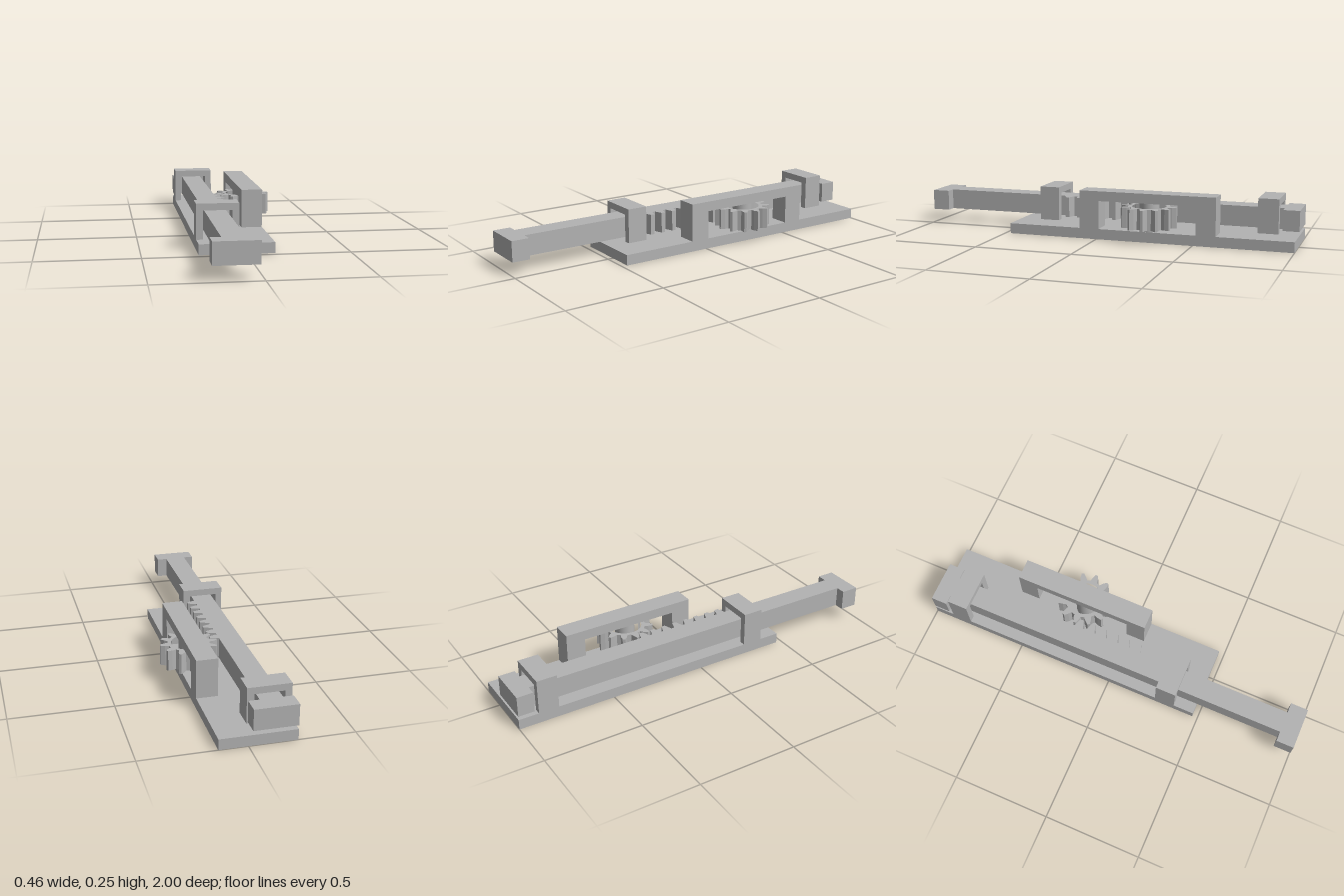
import * as THREE from 'three';

const grey = new THREE.MeshStandardMaterial({ color: 0xb3b3b3 });
grey.name = 'plain grey';

// Box given by its limits on each axis
function box(name, x0, x1, y0, y1, z0, z1) {
  const mesh = new THREE.Mesh(new THREE.BoxGeometry(x1 - x0, y1 - y0, z1 - z0), grey);
  mesh.position.set((x0 + x1) / 2, (y0 + y1) / 2, (z0 + z1) / 2);
  mesh.name = name;
  return mesh;
}

// Plan outline of [x, z] points raised between two heights
function plate(name, points, y0, y1, hole) {
  const shape = new THREE.Shape(points.map(([x, z]) => new THREE.Vector2(x, -z)));
  if (hole) shape.holes.push(hole);
  const geometry = new THREE.ExtrudeGeometry(shape, { depth: y1 - y0, bevelEnabled: false, curveSegments: 24 });
  geometry.rotateX(-Math.PI / 2);
  const mesh = new THREE.Mesh(geometry, grey);
  mesh.position.y = y0;
  mesh.name = name;
  return mesh;
}

// Arch that holds the sliding rack
function guide(name, z0, z1) {
  const group = new THREE.Group();
  group.name = name;
  group.add(
    box('outerPost', -0.23, -0.197, 0.053, 0.195, z0, z1),
    box('innerPost', -0.055, -0.02, 0.053, 0.195, z0, z1),
    box('lintel', -0.23, -0.02, 0.195, 0.229, z0, z1)
  );
  return group;
}

// Toothed bar with a wide stop at each end
function rack() {
  const points = [[-0.23, 1], [-0.02, 1], [-0.02, 0.91], [-0.072, 0.91]];
  const pitch = 0.0645;
  for (let i = 7; i >= 0; i--) {
    const z = -0.2335 + pitch * i;
    points.push([-0.072, z + 0.024], [-0.03, z + 0.01], [-0.03, z - 0.01], [-0.072, z - 0.024]);
  }
  points.push([-0.072, -0.917], [-0.02, -0.917], [-0.02, -1], [-0.23, -1],
    [-0.23, -0.917], [-0.18, -0.917], [-0.18, 0.91], [-0.23, 0.91]);
  return plate('rack', points, 0.072, 0.177);
}

// Twelve-toothed ring gear turning on the axle
function pinion() {
  const points = [];
  const flank = [[0.104, -0.17], [0.122, -0.12], [0.143, -0.045], [0.143, 0.045], [0.122, 0.12], [0.104, 0.17]];
  for (let i = 0; i < 12; i++) {
    for (const [r, offset] of flank) {
      const a = (i * Math.PI) / 6 + offset;
      points.push([r * Math.cos(a), r * Math.sin(a)]);
    }
  }
  const bore = new THREE.Path().absarc(0, 0, 0.086, 0, Math.PI * 2, true);
  const gear = plate('pinion', points, 0.072, 0.177, bore);
  gear.position.x = 0.085;
  gear.position.z = -0.265;
  return gear;
}

export function createModel() {
  const model = new THREE.Group();
  model.name = 'rackAndPinion';
  model.add(
    box('base', -0.23, 0.137, 0, 0.053, -1, 0.472),
    guide('frontGuide', 0.262, 0.366),
    guide('rearGuide', -0.897, -0.793),
    rack(),
    pinion()
  );

  // Bridge over the pinion
  const bridge = new THREE.Group();
  bridge.name = 'bridge';
  bridge.add(
    box('frontLeg', 0.032, 0.137, 0.053, 0.197, -0.012, 0.088),
    box('rearLeg', 0.032, 0.137, 0.053, 0.197, -0.616, -0.516),
    box('beam', 0.032, 0.137, 0.197, 0.247, -0.616, 0.088)
  );
  model.add(bridge);

  // Axle between base and bridge
  const axle = new THREE.Mesh(new THREE.CylinderGeometry(0.05, 0.05, 0.144, 32), grey);
  axle.position.set(0.085, 0.125, -0.265);
  axle.name = 'axle';
  model.add(axle);

  return model;
}
